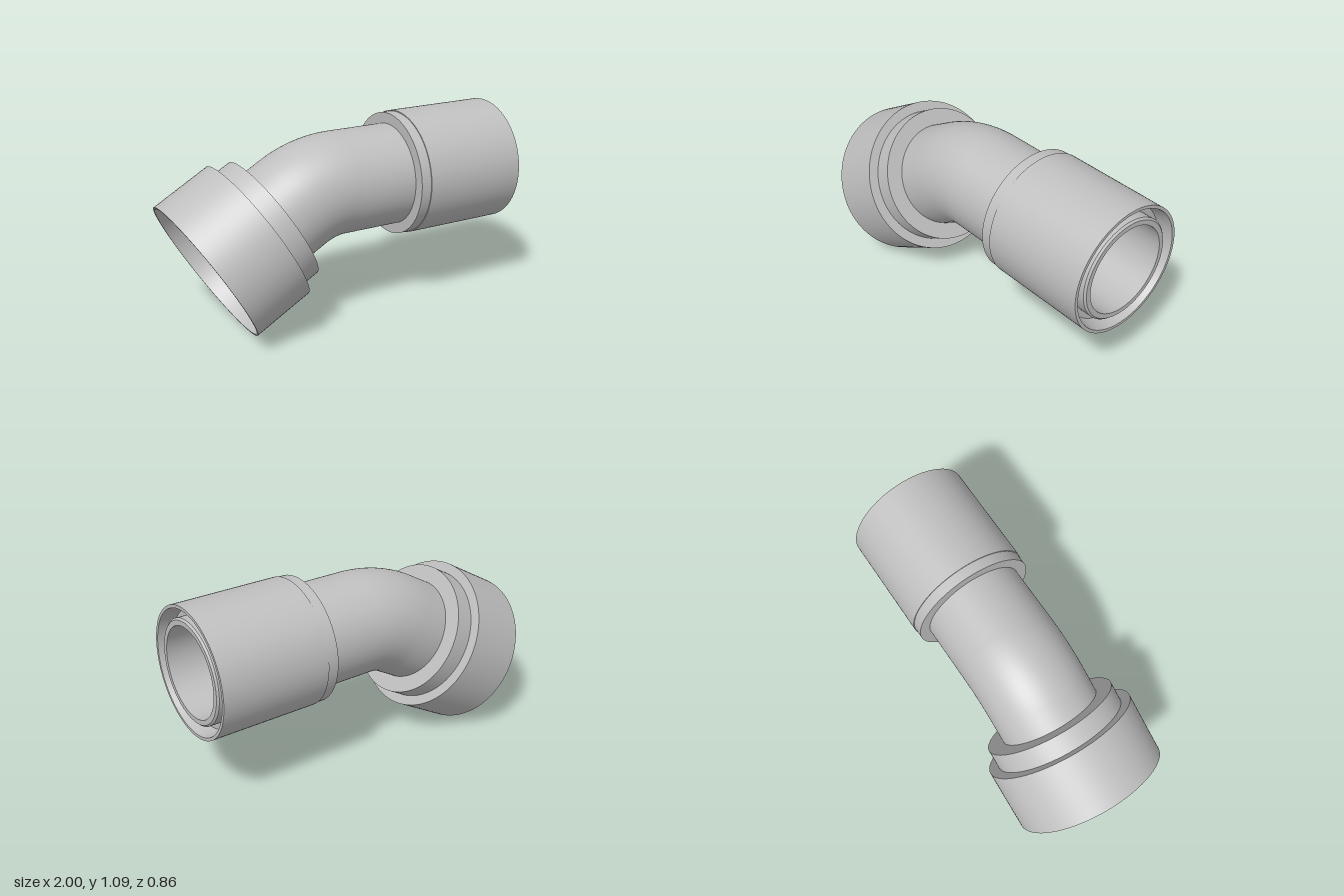
import * as THREE from 'three';
import { toCreasedNormals } from 'three/addons/utils/BufferGeometryUtils.js';

const SEGMENTS = 96;
const AXIS_Y = 0.747;        // height of the straight run's axis
const BEND_R = 0.537;        // centreline radius of the bend
const BEND = Math.PI / 6;    // 30 degree elbow
const OUTER = 0.285;
const BORE = 0.243;

export function createModel() {
  const group = new THREE.Group();
  const grey = new THREE.MeshStandardMaterial({ color: 0xbfbfbf, side: THREE.DoubleSide });
  grey.name = 'light grey';

  const add = (name, geometry, parent) => {
    const mesh = new THREE.Mesh(geometry, grey);
    mesh.name = name;
    parent.add(mesh);
    return mesh;
  };

  // Turned part: profile of [radius, distance along axis]
  const turned = (name, profile, parent) => {
    const points = profile.map(([r, d]) => new THREE.Vector2(r, d));
    return add(name, toCreasedNormals(new THREE.LatheGeometry(points, SEGMENTS), 0.4), parent);
  };

  // Straight arm, running along +x
  const arm = new THREE.Group();
  arm.name = 'straightArm';
  arm.position.y = AXIS_Y;
  arm.rotation.z = -Math.PI / 2;
  group.add(arm);

  // Pipe with a chamfered mouth
  turned('pipe', [
    [OUTER, 0], [OUTER, 0.9], [0.28, 0.9], [0.28, 0.985], [0.27, 0.995], [BORE, 0.995], [BORE, 0],
  ], arm);

  // Sleeve with a small shoulder at the back and a groove round the pipe mouth
  turned('sleeve', [
    [OUTER, 0.34], [0.345, 0.34], [0.345, 0.4], [0.35, 0.4], [0.35, 1],
    [0.333, 1], [0.313, 0.92], [0.28, 0.92],
  ], arm);

  // Bend: outer skin and bore
  const bend = new THREE.Group();
  bend.name = 'bend';
  bend.position.y = AXIS_Y - BEND_R;
  bend.rotation.z = Math.PI / 2;
  group.add(bend);
  for (const [name, r] of [['bendOuter', OUTER], ['bendBore', BORE]]) {
    add(name, new THREE.TorusGeometry(BEND_R, r, SEGMENTS, 24, BEND), bend);
  }

  // Stepped socket, running down from the end of the bend
  const socket = new THREE.Group();
  socket.name = 'socketArm';
  socket.position.set(-BEND_R * Math.sin(BEND), AXIS_Y - BEND_R * (1 - Math.cos(BEND)), 0);
  socket.rotation.z = Math.PI / 2 + BEND;
  group.add(socket);

  turned('socket', [
    [OUTER, 0], [OUTER, 0.136], [0.376, 0.136], [0.376, 0.246], [0.431, 0.246], [0.431, 0.595],
    [0.42, 0.595], [0.42, 0.27], [0.36, 0.27], [0.36, 0.16], [BORE, 0.16], [BORE, 0],
  ], socket);

  return group;
}
